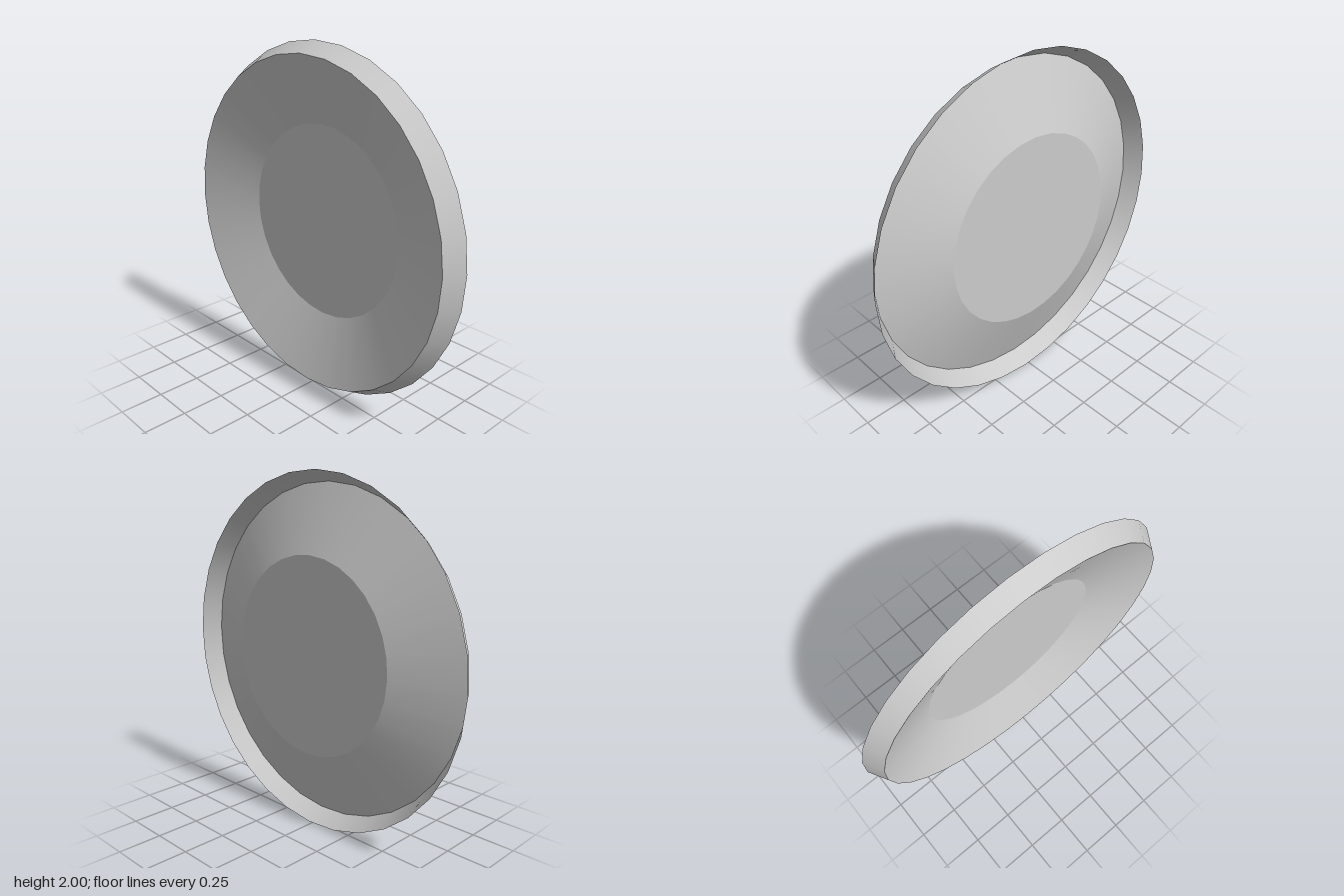
import * as THREE from 'three';

const SEGMENTS = 32;
const TWIST = 0.025; // slight turn of the facets about the axis

export function createModel() {
  const group = new THREE.Group();
  group.name = 'dish';
  const material = new THREE.MeshStandardMaterial({ color: 0xcccccc, side: THREE.DoubleSide });

  // Thin conical band around the x axis, from [radius, x] to [radius, x]
  function band(name, from, to) {
    const profile = [new THREE.Vector2(...from), new THREE.Vector2(...to)];
    const geometry = new THREE.LatheGeometry(profile, SEGMENTS, -Math.PI / 2 - TWIST);
    const mesh = new THREE.Mesh(geometry, material);
    mesh.name = name;
    mesh.rotation.z = -Math.PI / 2;
    mesh.position.y = 1;
    group.add(mesh);
  }

  // Flared outer wall, then the sloping face rising to the centre
  band('rim', [0.94, -0.07], [1, 0.035]);
  band('slopedFace', [0.94, -0.07], [0.56, 0.07]);

  // Flat raised centre
  const centre = new THREE.Mesh(new THREE.CircleGeometry(0.56, SEGMENTS, -TWIST), material);
  centre.name = 'centreDisc';
  centre.rotation.y = Math.PI / 2;
  centre.position.set(0.07, 1, 0);
  group.add(centre);

  return group;
}
